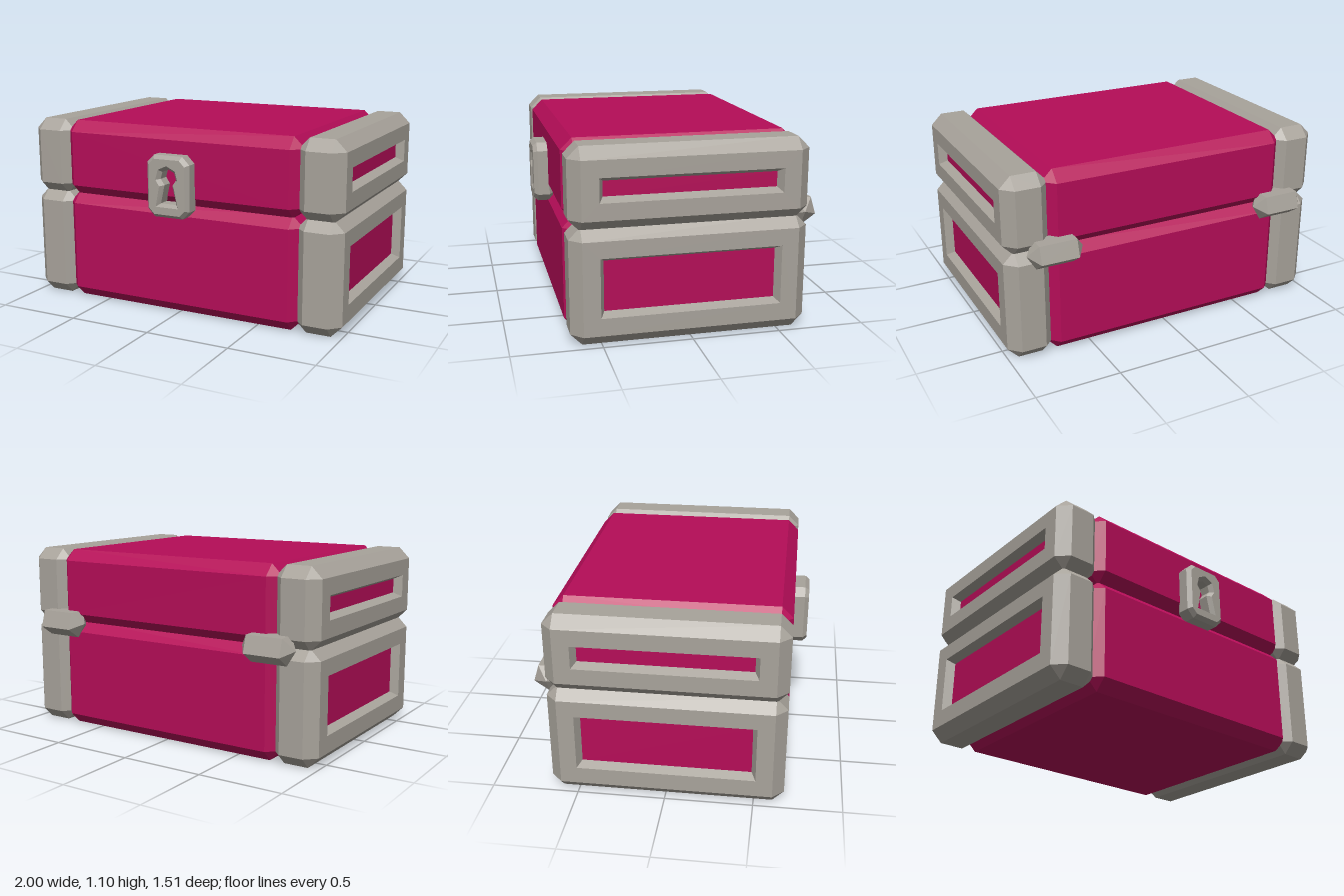
import * as THREE from 'three';
import { ConvexGeometry } from 'three/addons/geometries/ConvexGeometry.js';

const C = 0.065;          // chamfer of all the big blocks
const HALF_DEPTH = 0.665; // half depth of chest
const MID_Z = 0.005;

const crimson = new THREE.MeshStandardMaterial({ color: 0xb50d58 });
crimson.name = 'crimson';
const stone = new THREE.MeshStandardMaterial({ color: 0xa8a39b });
stone.name = 'stone grey';

function mesh(name, geometry, material, parent) {
  const m = new THREE.Mesh(geometry, material);
  m.name = name;
  parent.add(m);
  return m;
}

// Block with every edge and corner cut at 45 degrees
function chamferBox(x0, x1, y0, y1, hz) {
  const pts = [];
  for (const [x, sx] of [[x0, 1], [x1, -1]])
    for (const [y, sy] of [[y0, 1], [y1, -1]])
      for (const [z, sz] of [[-hz, 1], [hz, -1]])
        pts.push(
          new THREE.Vector3(x, y + sy * C, z + sz * C),
          new THREE.Vector3(x + sx * C, y, z + sz * C),
          new THREE.Vector3(x + sx * C, y + sy * C, z));
  return new ConvexGeometry(pts);
}

// Removes the flat face lying at the given x
function openAtX(geometry, x) {
  const p = geometry.attributes.position.array, kept = [];
  for (let i = 0; i < p.length; i += 9)
    if (![0, 3, 6].every(k => Math.abs(p[i + k] - x) < 1e-4)) kept.push(...p.slice(i, i + 9));
  const g = new THREE.BufferGeometry();
  g.setAttribute('position', new THREE.Float32BufferAttribute(kept, 3));
  g.computeVertexNormals();
  return g;
}

const rect = (w, y0, y1) => [[-w, y0], [w, y0], [w, y1], [-w, y1]];
const toPoints = list => list.map(([x, y]) => new THREE.Vector2(x, y));

// End band with a sunken coloured panel, facing +x
function endBand(name, y0, y1, openY0, openY1) {
  const g = new THREE.Group();
  g.name = name;
  const openHalf = 0.505, inset = 0.025, depth = 0.05;
  mesh('bandShell', openAtX(chamferBox(0.725, 1, y0, y1, HALF_DEPTH), 1), stone, g);

  const outer = rect(openHalf, openY0, openY1);
  const inner = rect(openHalf - inset, openY0 + inset, openY1 - inset);

  const face = new THREE.Shape(toPoints(rect(HALF_DEPTH - C, y0 + C, y1 - C)));
  face.holes.push(new THREE.Path(toPoints(outer)));
  const faceGeo = new THREE.ShapeGeometry(face).rotateY(Math.PI / 2).translate(1, 0, 0);
  mesh('bandFace', faceGeo, stone, g);

  // sloping walls of the recess
  const walls = [];
  for (let i = 0; i < 4; i++) {
    const j = (i + 1) % 4;
    const a = [...outer[i], 0], b = [...outer[j], 0];
    const c = [...inner[j], -depth], d = [...inner[i], -depth];
    walls.push(...a, ...b, ...c, ...a, ...c, ...d);
  }
  const wallGeo = new THREE.BufferGeometry();
  wallGeo.setAttribute('position', new THREE.Float32BufferAttribute(walls, 3));
  wallGeo.rotateY(Math.PI / 2).translate(1, 0, 0);
  wallGeo.computeVertexNormals();
  mesh('recessWalls', wallGeo, stone, g);

  const panel = new THREE.ShapeGeometry(new THREE.Shape(toPoints(inner)));
  mesh('sidePanel', panel.rotateY(Math.PI / 2).translate(1 - depth, 0, 0), crimson, g);
  return g;
}

// Lock plate with a keyhole cut through it
function lockGeometry() {
  const w = 0.135, y0 = 0.595, y1 = 0.953, k = 0.045;
  const plate = new THREE.Shape(toPoints([
    [-w + k, y0], [w - k, y0], [w, y0 + k], [w, y1 - k],
    [w - k, y1], [-w + k, y1], [-w, y1 - k], [-w, y0 + k]]));
  const hole = [[-0.05, 0.675], [0.05, 0.675]];
  for (let i = 0; i < 7; i++) {
    const a = -Math.PI * 0.33 + i * Math.PI * 1.66 / 6;
    hole.push([0.05 * Math.cos(a), 0.825 + 0.05 * Math.sin(a)]);
  }
  plate.holes.push(new THREE.Path(toPoints(hole)));
  return new THREE.ExtrudeGeometry(plate, {
    depth: 0.067, bevelEnabled: true, bevelSegments: 1,
    bevelSize: 0.02, bevelThickness: 0.024, bevelOffset: -0.02,
  }).translate(-0.005, 0, 0.664);
}

// Five-sided hinge pin with pointed ends, lying along x
function hingeGeometry() {
  const r = 0.088;
  const profile = toPoints([[0, -0.165], [r, -0.11], [r, 0.11], [0, 0.165]]);
  const g = new THREE.LatheGeometry(profile, 5, 2.22).rotateZ(Math.PI / 2).toNonIndexed();
  g.computeVertexNormals();
  return g;
}

export function createModel() {
  const chest = new THREE.Group();
  chest.name = 'chest';

  // Coloured body and lid
  mesh('body', chamferBox(-0.765, 0.765, 0, 0.66, HALF_DEPTH), crimson, chest).position.z = MID_Z;
  mesh('lid', chamferBox(-0.765, 0.765, 0.64, 1.095, HALF_DEPTH), crimson, chest).position.z = MID_Z;

  // Bands and hinges on both ends
  for (const [side, sign] of [['left', 1], ['right', -1]]) {
    const end = new THREE.Group();
    end.name = side + 'End';
    end.add(endBand(side + 'LowerBand', 0, 0.66, 0.165, 0.5));
    end.add(endBand(side + 'UpperBand', 0.64, 1.095, 0.8, 0.935));
    end.position.z = MID_Z;
    end.rotation.y = sign > 0 ? 0 : Math.PI;
    chest.add(end);
    mesh(side + 'Hinge', hingeGeometry(), stone, chest).position.set(sign * 0.728, 0.652, -0.672);
  }

  mesh('lockPlate', lockGeometry(), stone, chest);
  return chest;
}
